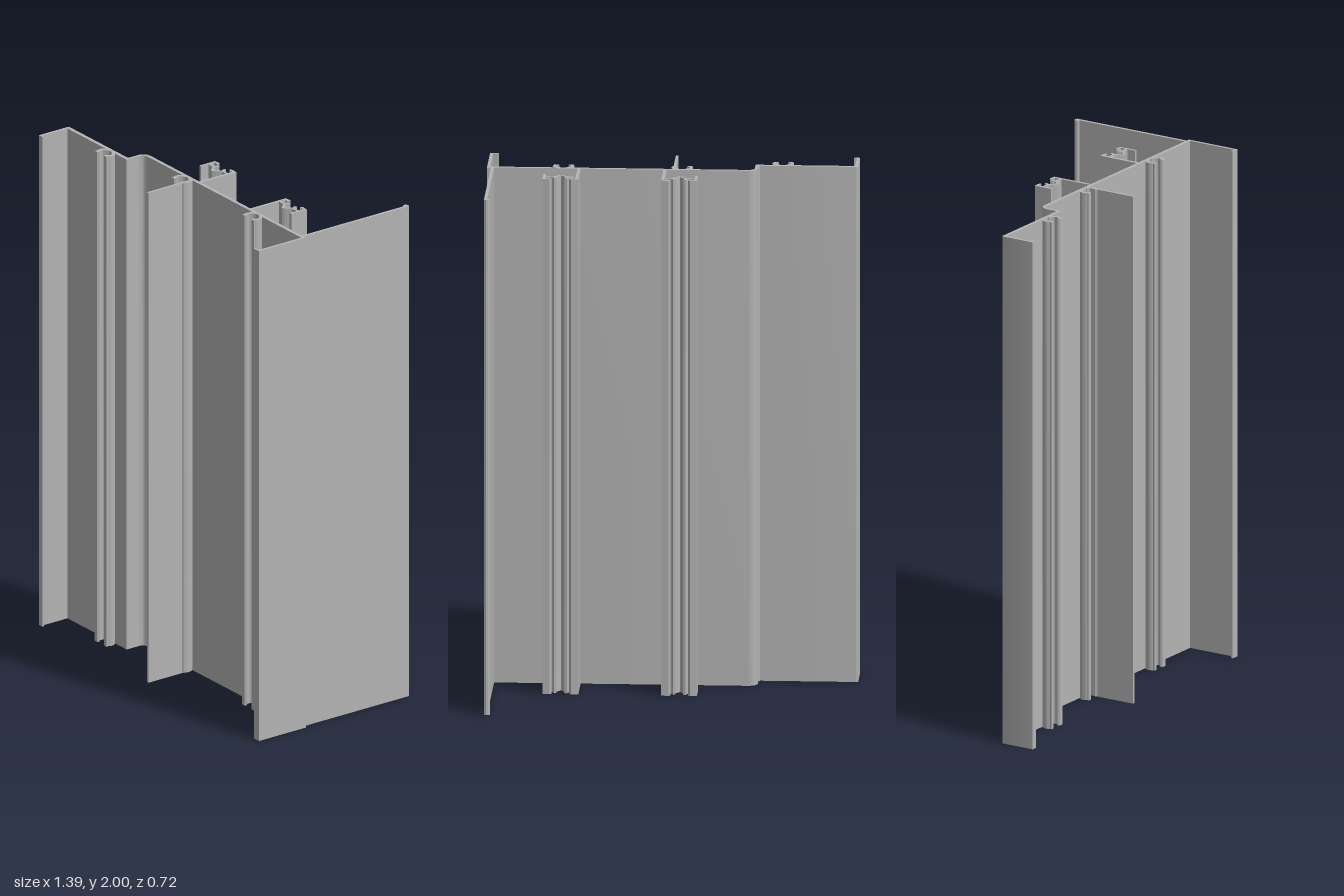
import * as THREE from 'three';
import { toCreasedNormals } from 'three/addons/utils/BufferGeometryUtils.js';

const HEIGHT = 2;

export function createModel() {
  const group = new THREE.Group();
  const aluminium = new THREE.MeshStandardMaterial({ color: 0xb4b4b4 });

  // Extrude a closed plan outline of [x, z] points up the full height
  const extrude = (name, outline) => {
    const shape = new THREE.Shape(outline.map(([x, z]) => new THREE.Vector2(x, -z)));
    const geo = new THREE.ExtrudeGeometry(shape, { depth: HEIGHT, bevelEnabled: false });
    geo.rotateX(-Math.PI / 2);
    const mesh = new THREE.Mesh(toCreasedNormals(geo, 0.6), aluminium);
    mesh.name = name;
    group.add(mesh);
  };

  // Give a plan centre line an even wall thickness
  const stroke = (path, t) => {
    const left = [], right = [];
    path.forEach(([x, z], i) => {
      const a = path[Math.max(i - 1, 0)], b = path[Math.min(i + 1, path.length - 1)];
      const d1 = new THREE.Vector2(x - a[0], z - a[1]), d2 = new THREE.Vector2(b[0] - x, b[1] - z);
      if (i === 0) d1.copy(d2);
      if (i === path.length - 1) d2.copy(d1);
      d1.normalize();
      d2.normalize();
      const m = d1.clone().add(d2).normalize();
      const h = t / 2 / Math.max(m.dot(d1), 0.5);
      left.push([x - m.y * h, z + m.x * h]);
      right.unshift([x + m.y * h, z - m.x * h]);
    });
    return left.concat(right);
  };

  // Smooth a few points into a flowing centre line
  const smooth = (pts, n) => new THREE.SplineCurve(pts.map((p) => new THREE.Vector2(...p)))
    .getPoints(n).map((p) => [p.x, p.y]);
  const arc = (cx, cz, r, from, to) => Array.from({ length: 7 }, (_, i) => {
    const a = from + (to - from) * i / 6;
    return [cx + r * Math.cos(a), cz + r * Math.sin(a)];
  });
  const place = (pts, x, z, side = 1) => pts.map(([px, pz]) => [x + side * px, z + pz]);

  // Stepped main wall with its lipped left and right legs
  extrude('steppedWall', [
    [-0.675, 0.357], [-0.697, 0.357],
    ...arc(-0.689, 0.225, 0.008, Math.PI, Math.PI * 1.5),
    [-0.328, 0.217], [-0.322, 0.211],
    ...arc(-0.287, 0.172, 0.035, Math.PI, Math.PI * 1.5),
    [0.697, 0.137], [0.697, 0.357], [0.664, 0.357], [0.664, 0.349], [0.685, 0.349], [0.685, 0.151],
    ...arc(-0.287, 0.174, 0.023, Math.PI * 1.5, Math.PI),
    [-0.31, 0.232], [-0.685, 0.232], [-0.685, 0.349], [-0.675, 0.349],
  ]);

  // Plain front fin and long rear fin with a beaded edge
  extrude('frontFin', stroke([[-0.008, 0.145], [-0.008, 0.357]], 0.01));
  extrude('rearFin', [
    [0.67, 0.14], [0.67, -0.338], [0.662, -0.342], [0.66, -0.351], [0.666, -0.358],
    [0.674, -0.36], [0.682, -0.356], [0.682, 0.14],
  ]);

  // Round screw ports on the front face, open to the front
  const portArm = smooth([[0.014, -0.002], [0.03, 0.009], [0.035, 0.022], [0.031, 0.034], [0.025, 0.041]], 10);
  const portFoot = [[0.017, 0.038], [0.034, 0.034], [0.038, 0.046], [0.022, 0.046]];
  for (const [x, z] of [[-0.413, 0.232], [-0.037, 0.151], [0.41, 0.151]]) {
    for (const side of [-1, 1]) {
      extrude('screwPortArm', place(stroke(portArm, 0.012), x, z, side));
      extrude('screwPortFoot', place(portFoot, x, z, side));
    }
  }

  // Rear clip channels: one long leg to the wall, one short leg, hooked pockets
  const hook = (end) => [[0.037, -0.019], [0.043, -0.025], [0.062, -0.023], [0.062, end]];
  const pocket = smooth([[0.062, 0.005], [0.045, 0.007], [0.032, 0.007], [0.023, 0], [0.019, -0.012]], 10);
  const valley = smooth([[-0.026, 0.007], [-0.014, 0.02], [0, 0.033], [0.014, 0.02], [0.026, 0.007]], 14);
  for (const [x, longSide] of [[-0.036, 1], [0.412, -1]]) {
    extrude('clipLongLeg', place(stroke(hook(0.14), 0.012), x, 0, longSide));
    extrude('clipShortLeg', place(stroke(hook(0.045), 0.01), x, 0, -longSide));
    for (const side of [-1, 1]) extrude('clipPocket', place(stroke(pocket, 0.01), x, 0, side));
    extrude('clipValley', place(stroke(valley, 0.01), x, 0));
  }
  return group;
}
